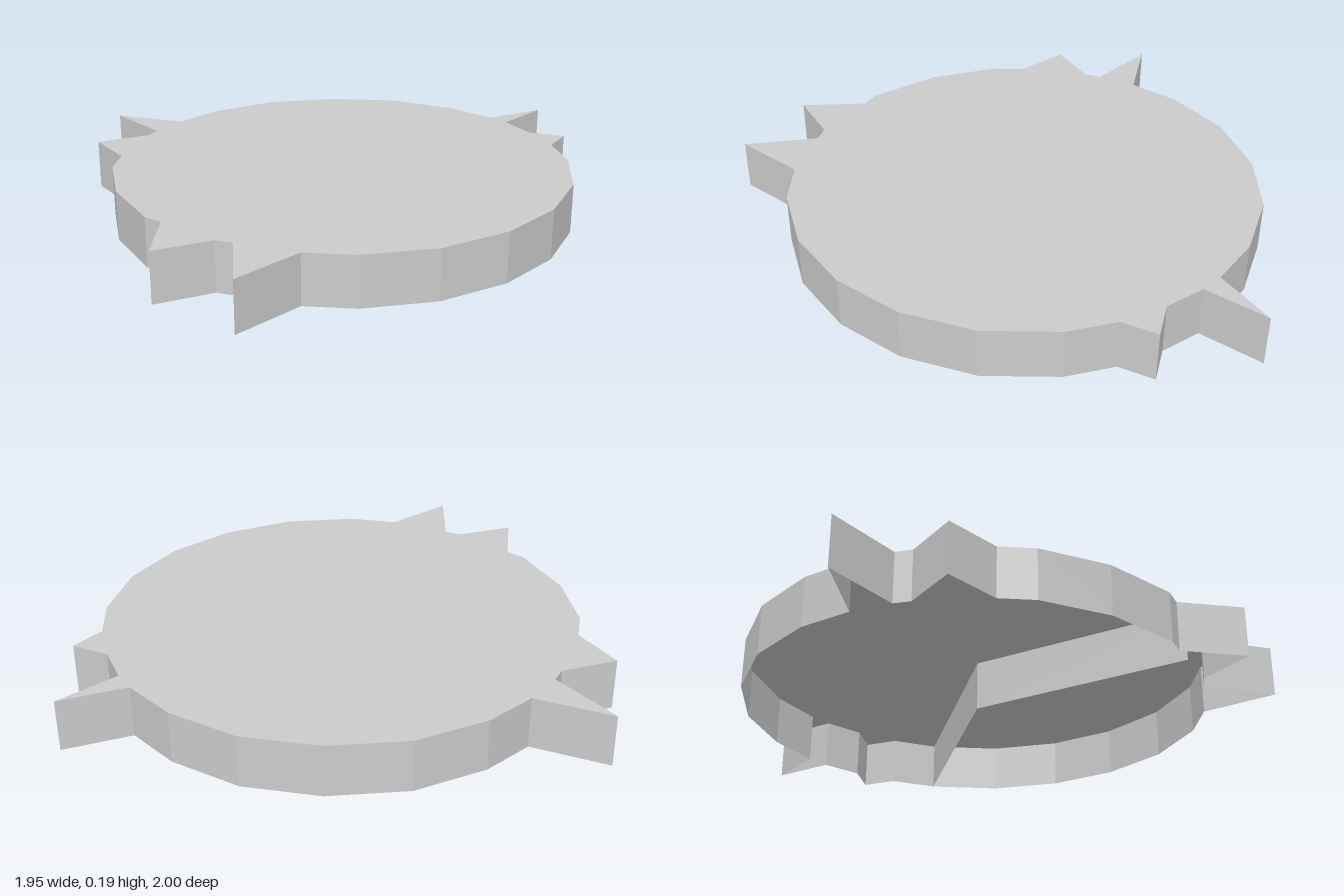
import * as THREE from 'three';

const HEIGHT = 0.195;
const CENTRE = [0.04, -0.1];

// Outline as [x, z], clockwise seen from above: a 20-sided disc with six pointed teeth
const OUTLINE = [
  [-0.02, -1], [0.26, -0.98], [0.515, -0.87], [0.685, -0.73],
  [0.91, -0.85], [0.745, -0.66], [0.83, -0.52],
  [0.97, -0.475], [0.9, -0.355], [0.94, -0.17], [0.92, 0.11],
  [0.81, 0.37], [0.63, 0.58], [0.39, 0.73], [0.115, 0.795], [-0.075, 0.78],
  [-0.275, 0.995], [-0.305, 0.705], [-0.37, 0.685],
  [-0.575, 0.785], [-0.575, 0.53], [-0.64, 0.485], [-0.79, 0.235],
  [-0.855, -0.03], [-0.845, -0.165],
  [-0.975, -0.34], [-0.78, -0.435], [-0.755, -0.495],
  [-0.955, -0.71], [-0.675, -0.63], [-0.54, -0.785], [-0.305, -0.935],
];

// Upright flat-shaded strip standing on a path of [x, z] points
function wallGeometry(path) {
  const positions = [];
  for (let i = 0; i < path.length - 1; i++) {
    const [ax, az] = path[i];
    const [bx, bz] = path[i + 1];
    positions.push(
      ax, 0, az, ax, HEIGHT, az, bx, HEIGHT, bz,
      ax, 0, az, bx, HEIGHT, bz, bx, 0, bz,
    );
  }
  const geometry = new THREE.BufferGeometry();
  geometry.setAttribute('position', new THREE.Float32BufferAttribute(positions, 3));
  geometry.computeVertexNormals();
  return geometry;
}

export function createModel() {
  const group = new THREE.Group();
  group.name = 'toothedDisc';

  const grey = new THREE.MeshStandardMaterial({ color: 0xcccccc, side: THREE.DoubleSide });
  grey.name = 'lightGrey';

  const add = (name, geometry) => {
    const mesh = new THREE.Mesh(geometry, grey);
    mesh.name = name;
    group.add(mesh);
  };

  // Flat top; the underside is left open
  const shape = new THREE.Shape(OUTLINE.map(([x, z]) => new THREE.Vector2(x, -z)));
  add('topPlate', new THREE.ShapeGeometry(shape).rotateX(-Math.PI / 2).translate(0, HEIGHT, 0));

  // Outer wall following the teeth
  add('rimWall', wallGeometry([...OUTLINE, OUTLINE[0]]));

  // Two radial partitions under the top, meeting at the disc centre
  add('innerPartitions', wallGeometry([[0.94, -0.17], CENTRE, [-0.51, 0.58]]));

  return group;
}
